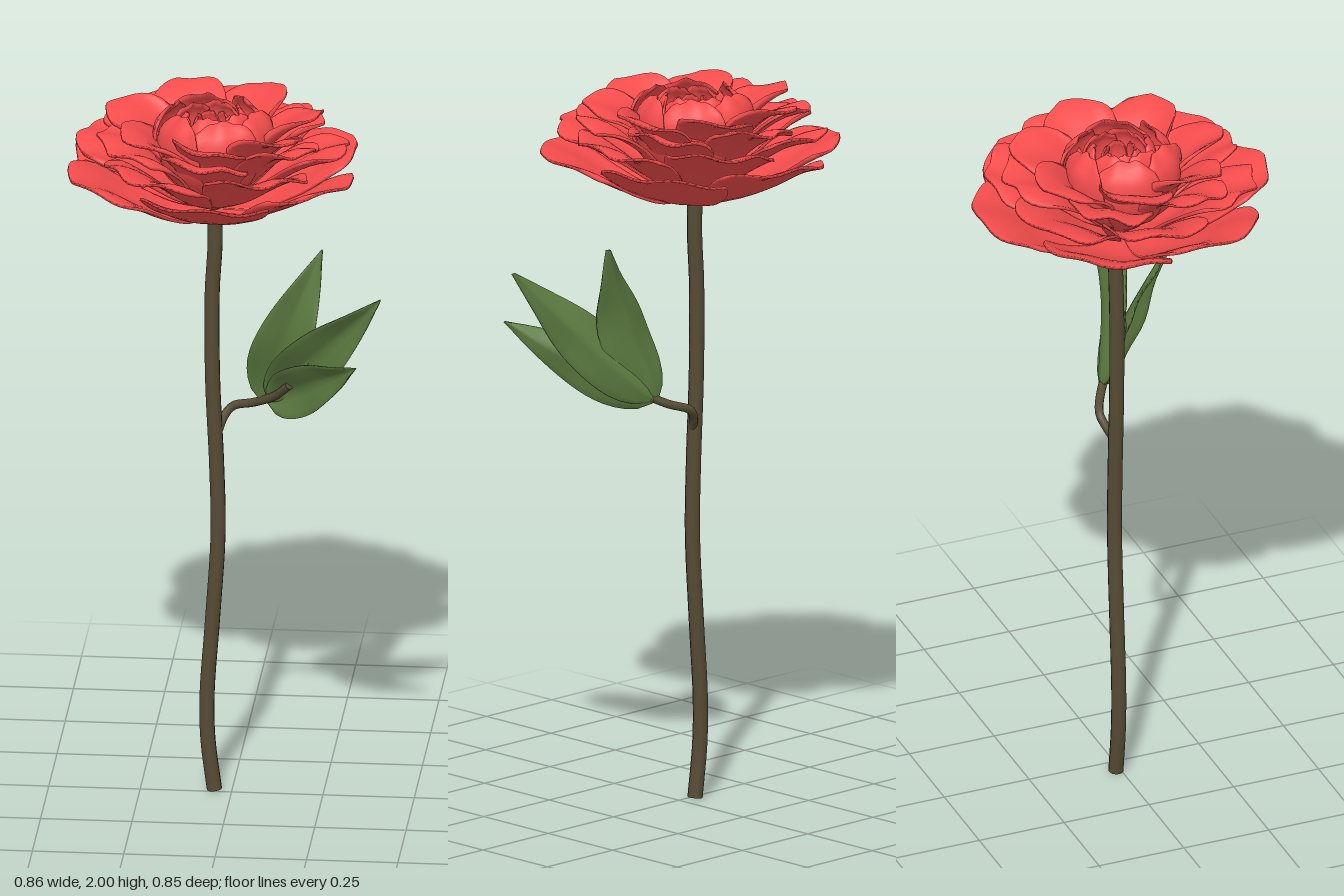
import * as THREE from 'three';

const V = (x, y, z) => new THREE.Vector3(x, y, z);
const RED = new THREE.MeshStandardMaterial({ color: 0xf84d4d });
const GREEN = new THREE.MeshStandardMaterial({ color: 0x5c7a40 });
const BARK = new THREE.MeshStandardMaterial({ color: 0x564b34 });
const CENTRE_X = -0.05;

// Closed thin shell: point(s, t, side) with s in 0..1, t in -1..1, side +1 top / -1 underside
function shell(point, n, m) {
  const pos = [], idx = [], row = m + 1, count = (n + 1) * row;
  for (const side of [1, -1])
    for (let i = 0; i <= n; i++)
      for (let j = 0; j <= m; j++) pos.push(...point(i / n, (2 * j) / m - 1, side).toArray());
  for (let i = 0; i < n; i++)
    for (let j = 0; j < m; j++) {
      const a = i * row + j, b = a + 1, c = a + row, d = c + 1;
      idx.push(a, b, c, b, d, c);
      idx.push(a + count, c + count, b + count, b + count, c + count, d + count);
    }
  // Rim joining the two faces
  const rim = [];
  for (let j = 0; j < m; j++) rim.push(j);
  for (let i = 0; i < n; i++) rim.push(i * row + m);
  for (let j = m; j > 0; j--) rim.push(n * row + j);
  for (let i = n; i > 0; i--) rim.push(i * row);
  rim.forEach((a, k) => {
    const b = rim[(k + 1) % rim.length];
    idx.push(b, a, a + count, b, a + count, b + count);
  });
  const g = new THREE.BufferGeometry();
  g.setAttribute('position', new THREE.Float32BufferAttribute(pos, 3));
  g.setIndex(idx);
  g.computeVertexNormals();
  return g;
}

// Repeatable variation in -1..1
const vary = (k) => {
  const f = Math.sin(k * 127.1 + 11.7) * 43758.5453;
  return 2 * (f - Math.floor(f)) - 1;
};

// One petal, swept around the flower axis along a (radius, height) profile
function petalGeometry(layer, curve, angle, seed) {
  const { half, tilt, cup, round, tip, ripple, wave, thick } = layer;
  const scale = 0.985 + 0.015 * vary(seed);
  return shell((s, t, side) => {
    const w = Math.abs(t);
    const reach = 1 - tip - ripple - round * w ** 4 + tip * (1 - w) ** 1.1
      + ripple * Math.cos(t * 9 + seed);
    const u = Math.min(1, s * reach * scale);
    const p = curve.getPoint(u), d = curve.getTangent(u);
    const lift = tilt * t * s + cup * t * t * s
      + wave * s * s * Math.sin(t * 7 + seed * 2) + side * thick;
    const r = Math.max(0.003, p.x - d.y * lift), y = p.y + d.x * lift;
    const a = angle + t * half * (1 - 0.2 * s ** 4);
    return V(r * Math.cos(a), y, r * Math.sin(a));
  }, 12, 20);
}

// Petal layers from the outside in
const LAYERS = [
  { name: 'outerPetal', n: 6, phase: 30, half: 0.66, tilt: 0.012, cup: 0, round: 0.1, tip: 0.1, ripple: 0.007, wave: 0.006, thick: 0.004, wobble: 0,
    profile: [[0.01, 1.695], [0.12, 1.705], [0.24, 1.755], [0.34, 1.815], [0.43, 1.85]] },
  { name: 'secondPetal', n: 6, phase: 2, half: 0.64, tilt: 0.016, cup: 0, round: 0.14, tip: 0.05, ripple: 0.02, wave: 0.008, thick: 0.004, wobble: 0.08,
    profile: [[0.01, 1.705], [0.11, 1.75], [0.2, 1.815], [0.29, 1.87], [0.38, 1.895]] },
  { name: 'thirdPetal', n: 6, phase: 32, half: 0.6, tilt: 0.02, cup: 0, round: 0.16, tip: 0.05, ripple: 0.02, wave: 0.008, thick: 0.004, wobble: 0.08,
    profile: [[0.01, 1.715], [0.1, 1.785], [0.17, 1.86], [0.25, 1.915], [0.34, 1.935]] },
  { name: 'bowlPetal', n: 7, phase: 90, half: 0.68, tilt: 0.024, cup: 0.008, round: 0.2, tip: 0.14, ripple: 0.004, wave: 0.004, thick: 0.004, wobble: 0.05,
    profile: [[0.01, 1.725], [0.09, 1.8], [0.155, 1.885], [0.225, 1.945], [0.31, 1.97]] },
  { name: 'cupPetal', n: 6, phase: 75, half: 0.72, tilt: 0.012, cup: 0, round: 0.12, tip: 0.05, ripple: 0.012, wave: 0.003, thick: 0.004, wobble: 0.08,
    profile: [[0.01, 1.75], [0.1, 1.785], [0.15, 1.86], [0.15, 1.945], [0.1, 1.998]] },
  { name: 'innerPetal', n: 6, phase: 40, half: 0.72, tilt: 0.009, cup: 0, round: 0.1, tip: 0.04, ripple: 0.015, wave: 0.002, thick: 0.004, wobble: 0.08,
    profile: [[0.01, 1.78], [0.07, 1.81], [0.095, 1.88], [0.095, 1.95], [0.067, 1.99]] },
  { name: 'heartPetal', n: 6, phase: 10, half: 0.62, tilt: 0.004, cup: 0, round: 0.1, tip: 0.03, ripple: 0.012, wave: 0.001, thick: 0.003, wobble: 0.05,
    profile: [[0.005, 1.85], [0.035, 1.86], [0.052, 1.9], [0.052, 1.94], [0.038, 1.975]] },
];

function createBloom() {
  const bloom = new THREE.Group();
  bloom.name = 'bloom';
  LAYERS.forEach((layer, l) => {
    const curve = new THREE.CatmullRomCurve3(layer.profile.map(([r, y]) => V(r, y, 0)));
    for (let k = 0; k < layer.n; k++) {
      const seed = l * 10 + k;
      const angle = THREE.MathUtils.degToRad(layer.phase + (360 * k) / layer.n)
        + layer.wobble * vary(seed + 50);
      const petal = new THREE.Mesh(petalGeometry(layer, curve, angle, seed), RED);
      petal.name = layer.name;
      bloom.add(petal);
    }
  });
  bloom.position.x = CENTRE_X;
  return bloom;
}

// Pointed leaf standing on edge, rolled about its length and folded along its midrib
function leafGeometry(base, tip, halfWidth, bow, roll) {
  const dir = tip.clone().sub(base).normalize();
  const normal = V(-dir.z, 0, dir.x).normalize().applyAxisAngle(dir, roll);
  const across = dir.clone().cross(normal);
  return shell((s, t, side) => {
    const w = halfWidth * 1.15 * Math.max(0.03, Math.sin(Math.PI * s ** 0.72) ** 0.85 * (1 - 0.25 * s));
    const lift = bow * Math.sin(Math.PI * s) - 0.5 * w * (0.6 - Math.abs(t))
      + 0.005 * Math.sin(s * 14) * t + side * 0.003;
    return base.clone().lerp(tip, s)
      .addScaledVector(across, w * t)
      .addScaledVector(normal, lift);
  }, 16, 8);
}

// Round stalk through points, closed with end discs
function stalk(name, points, radius, segments) {
  const group = new THREE.Group();
  group.name = name;
  const curve = new THREE.CatmullRomCurve3(points);
  group.add(new THREE.Mesh(new THREE.TubeGeometry(curve, segments, radius, 10), BARK));
  for (const u of [0, 1]) {
    const cap = new THREE.Mesh(new THREE.CircleGeometry(radius, 10), BARK);
    const out = curve.getTangent(u).multiplyScalar(u ? 1 : -1);
    cap.position.copy(curve.getPoint(u));
    cap.quaternion.setFromUnitVectors(V(0, 0, 1), out);
    group.add(cap);
  }
  group.children.forEach((m, i) => { m.name = i ? name + 'End' : name + 'Body'; });
  return group;
}

export function createModel() {
  const model = new THREE.Group();
  model.name = 'flower';
  model.add(createBloom());

  // Gently wavy stem
  const stemLine = [[-0.048, 0.003], [-0.066, 0.15], [-0.068, 0.28], [-0.053, 0.5], [-0.038, 0.75],
    [-0.042, 0.95], [-0.053, 1.2], [-0.054, 1.45], [-0.046, 1.6], [-0.05, 1.74]];
  model.add(stalk('stem', stemLine.map(([x, y]) => V(x, y, -0.014)), 0.021, 48));

  // Side branch
  model.add(stalk('branch', [V(-0.04, 1.04, -0.012), V(-0.022, 1.085, -0.035), V(0, 1.11, -0.042),
    V(0.06, 1.133, -0.015), V(0.12, 1.17, 0.03), V(0.165, 1.22, 0.075)], 0.012, 24));

  // Three leaves fanning from the branch
  const leaves = [
    [V(0.085, 1.14, 0.0), V(0.25, 1.595, 0.02), 0.078, 0.045, 0],
    [V(0.1, 1.145, 0.0), V(0.425, 1.525, 0.212), 0.075, 0.012, 0.3],
    [V(0.1, 1.14, 0.0), V(0.365, 1.36, 0.308), 0.068, 0.0, 0.2],
  ];
  for (const spec of leaves) {
    const leaf = new THREE.Mesh(leafGeometry(...spec), GREEN);
    leaf.name = 'leaf';
    model.add(leaf);
  }
  return model;
}
